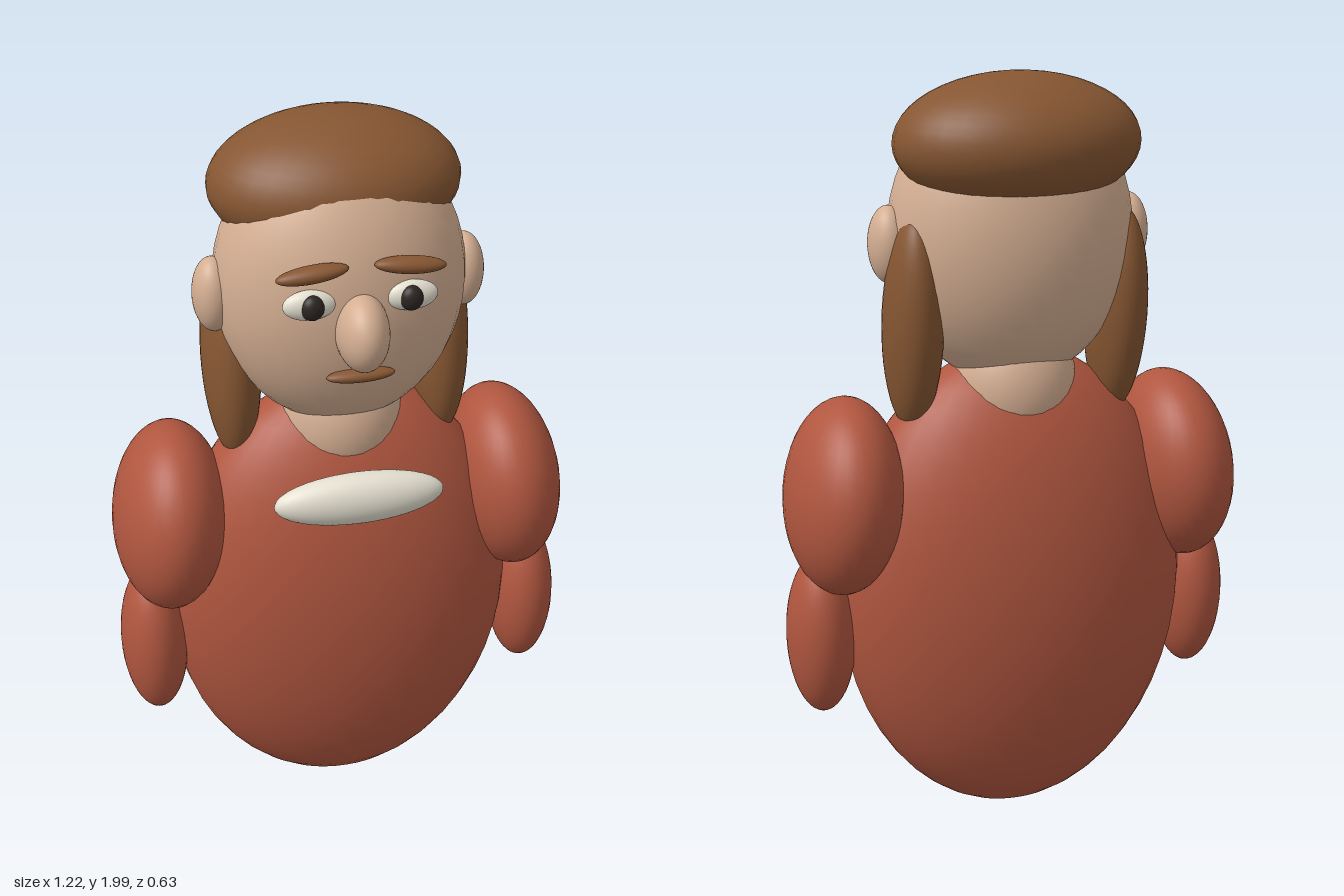
import * as THREE from 'three';

const material = (name, color) => {
  const m = new THREE.MeshStandardMaterial({ color });
  m.name = name;
  return m;
};

export function createModel() {
  const red = material('red cloth', 0xb0563f);
  const skin = material('skin', 0xd4ae92);
  const brown = material('brown hair', 0x865632);
  const white = material('off white', 0xe4dfd0);
  const dark = material('dark pupil', 0x2b2523);

  const group = new THREE.Group();
  group.name = 'figure';
  const sphere = new THREE.SphereGeometry(1, 36, 24);

  // Every part is a smooth ellipsoid: centre, radii and a slight tilt
  function blob(name, mat, centre, radii, tilt = [0, 0, 0]) {
    const mesh = new THREE.Mesh(sphere, mat);
    mesh.name = name;
    mesh.position.set(...centre);
    mesh.scale.set(...radii);
    mesh.rotation.set(...tilt);
    group.add(mesh);
  }

  // Mirrored pair; the values given are for the left (+x) side
  function pair(name, mat, [x, y, z], radii, [rx, ry, rz] = [0, 0, 0]) {
    blob('left' + name, mat, [x, y, z], radii, [rx, ry, rz]);
    blob('right' + name, mat, [-x, y, z], radii, [rx, -ry, -rz]);
  }

  // Body
  blob('torso', red, [0, 0.655, -0.04], [0.47, 0.645, 0.262]);
  blob('neck', skin, [0, 1.2, -0.04], [0.168, 0.19, 0.168]);
  blob('collar', white, [0, 1.08, 0.2], [0.22, 0.07, 0.055]);

  // Arms
  pair('UpperArm', red, [0.455, 0.94, -0.042], [0.15, 0.257, 0.236], [0, 0, 0.1]);
  pair('Forearm', red, [0.52, 0.56, -0.022], [0.09, 0.222, 0.118], [-0.05, 0, 0]);

  // Head and hair
  blob('head', skin, [0, 1.59, -0.03], [0.318, 0.385, 0.25]);
  blob('hairCap', brown, [0, 1.83, -0.085], [0.315, 0.17, 0.233]);
  pair('HairLock', brown, [0.272, 1.38, -0.075], [0.076, 0.28, 0.11], [-0.13, 0, 0]);
  pair('Ear', skin, [0.318, 1.58, -0.026], [0.052, 0.098, 0.064]);

  // Face
  blob('nose', skin, [0, 1.563, 0.217], [0.065, 0.098, 0.098]);
  pair('Eye', white, [0.123, 1.64, 0.2], [0.066, 0.038, 0.027]);
  pair('Pupil', dark, [0.12, 1.64, 0.216], [0.029, 0.032, 0.024]);
  pair('Eyebrow', brown, [0.118, 1.723, 0.208], [0.088, 0.021, 0.027], [0, 0, -0.1]);
  blob('mouth', brown, [0, 1.44, 0.206], [0.086, 0.017, 0.024]);

  return group;
}
